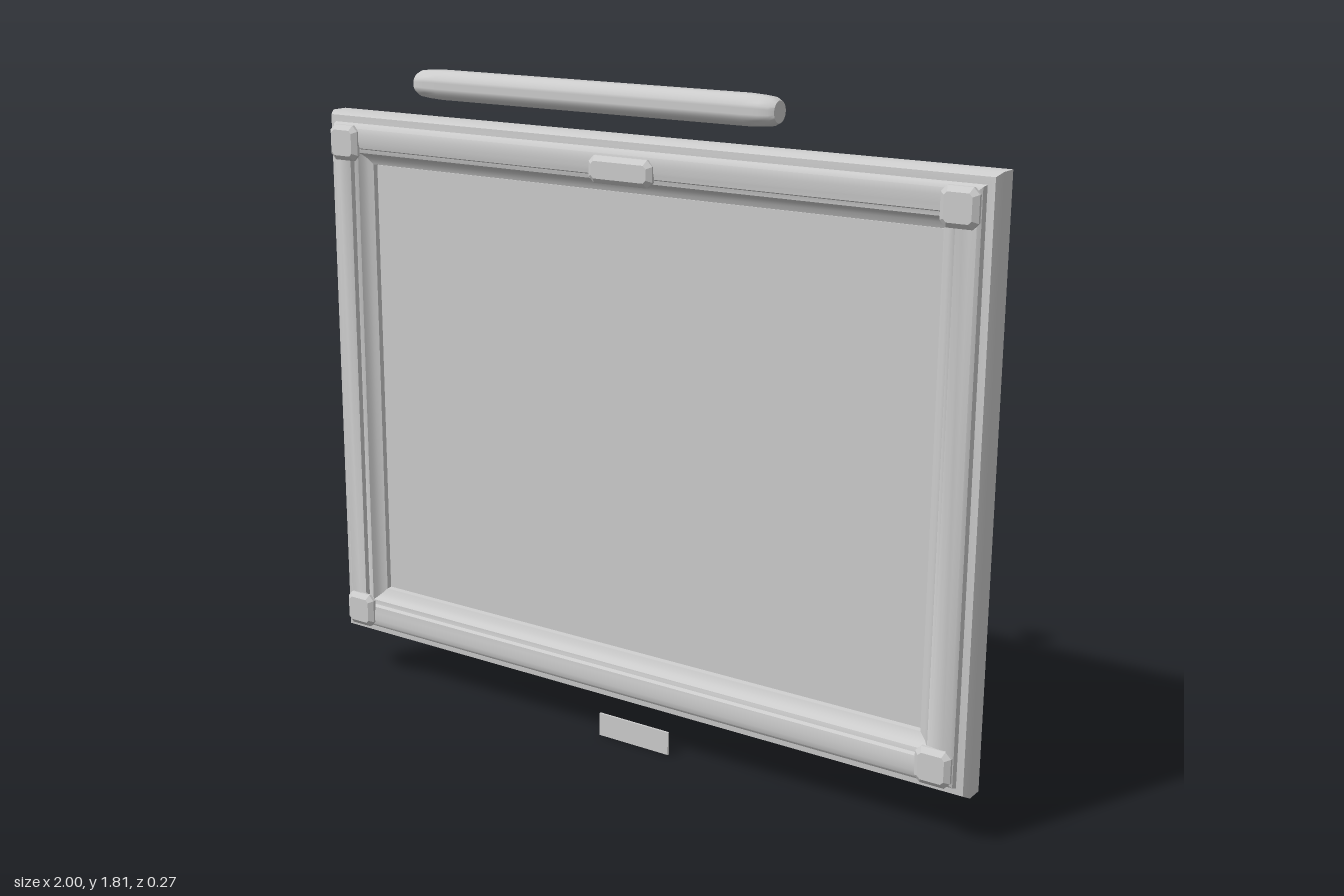
import * as THREE from 'three';
import { toCreasedNormals } from 'three/addons/utils/BufferGeometryUtils.js';

const MID_Y = 0.893, HALF_W = 1, HALF_H = 0.76;
const mat = new THREE.MeshStandardMaterial({ color: 0xcccccc, side: THREE.DoubleSide });

function part(name, geometry, x = 0, y = 0, z = 0) {
  const mesh = new THREE.Mesh(geometry, mat);
  mesh.name = name;
  mesh.position.set(x, y, z);
  return mesh;
}

// Open moulding: a profile of [inset, z] swept round a mitred rectangle
function mouldingGeometry(profile) {
  const corners = [[-1, -1], [1, -1], [1, 1], [-1, 1]];
  const pos = [];
  const point = ([inset, z], [sx, sy]) => [sx * (HALF_W - inset), sy * (HALF_H - inset), z];
  for (let i = 0; i < profile.length - 1; i++) {
    for (let c = 0; c < 4; c++) {
      const next = corners[(c + 1) % 4];
      const a = point(profile[i], corners[c]), b = point(profile[i], next);
      const d = point(profile[i + 1], corners[c]), e = point(profile[i + 1], next);
      pos.push(...a, ...b, ...e, ...a, ...e, ...d);
    }
  }
  const g = new THREE.BufferGeometry();
  g.setAttribute('position', new THREE.Float32BufferAttribute(pos, 3));
  return toCreasedNormals(g, 0.5);
}

// Ornament block with clipped corners, bevelled front and back
function blockGeometry(w, h) {
  const bevel = 0.013, clip = 0.008;
  const x = w / 2 - bevel, y = h / 2 - bevel;
  const shape = new THREE.Shape([
    [-x + clip, -y], [x - clip, -y], [x, -y + clip], [x, y - clip],
    [x - clip, y], [-x + clip, y], [-x, y - clip], [-x, -y + clip],
  ].map(([px, py]) => new THREE.Vector2(px, py)));
  const g = new THREE.ExtrudeGeometry(shape, {
    depth: 0.008, bevelEnabled: true, bevelThickness: 0.011, bevelSize: bevel, bevelSegments: 1,
  });
  return g.translate(0, 0, -0.004);
}

export function createModel() {
  const group = new THREE.Group();
  group.name = 'framedPictureWithLamp';

  // Frame: side wall, chamfer, ledge, raised band, step and cove down to the lip
  const profile = [
    [0, -0.133], [0, -0.085], [0.01, -0.065], [0.028, -0.063], [0.032, -0.05],
    [0.04, -0.044], [0.055, -0.04], [0.075, -0.04], [0.093, -0.045],
    [0.097, -0.056], [0.108, -0.06], [0.115, -0.071], [0.125, -0.08],
    [0.14, -0.086], [0.143, -0.11],
  ];
  group.add(part('frameMoulding', mouldingGeometry(profile), 0, MID_Y, 0));

  // Picture panel
  group.add(part('picturePanel', new THREE.BoxGeometry(1.714, 1.234, 0.004), 0, MID_Y, -0.1));

  // Corner blocks and top centre block
  for (const sx of [-1, 1]) {
    for (const sy of [-1, 1]) {
      group.add(part('cornerBlock', blockGeometry(0.096, 0.096),
        sx * 0.92, MID_Y + sy * 0.68, -0.04));
    }
  }
  group.add(part('topBlock', blockGeometry(0.192, 0.07), 0, MID_Y + 0.68, -0.04));

  // Picture lamp: tapered tube, arm and wall bracket
  const lampProfile = [
    [0, -0.53], [0.026, -0.53], [0.033, -0.517], [0.036, -0.49], [0.038, -0.45],
    [0.038, 0.45], [0.036, 0.49], [0.033, 0.517], [0.026, 0.53], [0, 0.53],
  ].map(([r, y]) => new THREE.Vector2(r, y));
  const lamp = toCreasedNormals(new THREE.LatheGeometry(lampProfile, 32), 0.6);
  group.add(part('lampTube', lamp.rotateZ(-Math.PI / 2), 0, 1.77, 0.095));
  const arm = new THREE.CylinderGeometry(0.009, 0.009, 0.18, 12).rotateX(Math.PI / 2);
  group.add(part('lampArm', arm, 0, 1.77, -0.02));
  group.add(part('lampBracket', new THREE.BoxGeometry(0.09, 0.05, 0.03), 0, 1.752, -0.116));

  // Name plate below the frame
  group.add(part('plate', new THREE.BoxGeometry(0.225, 0.065, 0.006), 0, 0.0325, -0.105));

  return group;
}
